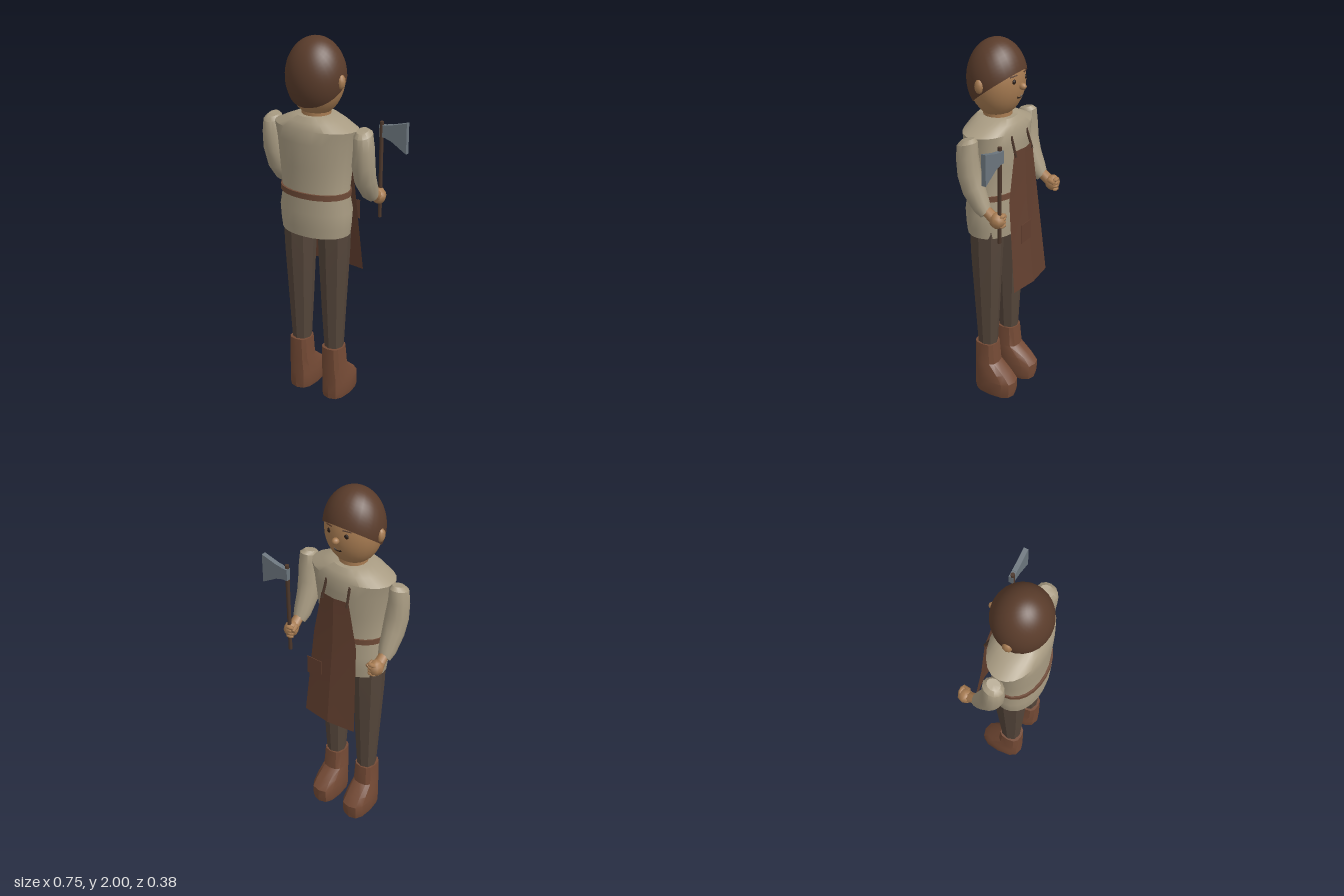
import * as THREE from 'three';
import { toCreasedNormals } from 'three/addons/utils/BufferGeometryUtils.js';

const COLORS = {
  skin: 0xa87c52, hair: 0x5a3c2b, shirt: 0xa89b82, trousers: 0x54453a, boot: 0x744a35,
  apron: 0x623f2f, belt: 0x6e4a37, wood: 0x4c372b, steel: 0x6b757d, dark: 0x2a1d16,
};
const mats = {};
for (const k in COLORS) mats[k] = new THREE.MeshStandardMaterial({ color: COLORS[k], side: THREE.DoubleSide });

function add(parent, name, geo, mat, pos = [0, 0, 0], scale = [1, 1, 1]) {
  const m = new THREE.Mesh(geo, mats[mat]);
  m.name = name;
  m.position.set(...pos);
  m.scale.set(...scale);
  parent.add(m);
  return m;
}

// Closed skin through rings listed bottom to top: [x, y, z, rx, rz, tilt about x]
function loft(rings, n, { power = 1, crease = 0.7, turn = 0 } = {}) {
  const pos = [], idx = [];
  const bend = (v) => Math.sign(v) * Math.abs(v) ** power;
  for (const [x, y, z, rx, rz, t = 0] of rings) {
    for (let j = 0; j < n; j++) {
      const a = ((j + turn) / n) * Math.PI * 2;
      const s = rz * bend(Math.sin(a));
      pos.push(x + rx * bend(Math.cos(a)), y + s * Math.sin(t), z + s * Math.cos(t));
    }
  }
  const last = rings.length - 1, base = rings.length * n;
  for (const r of [rings[0], rings[last]]) pos.push(r[0], r[1], r[2]);
  for (let j = 0; j < n; j++) {
    const k = (j + 1) % n;
    for (let i = 0; i < last; i++) {
      const a = i * n + j, b = i * n + k;
      idx.push(a, a + n, b, b, a + n, b + n);
    }
    idx.push(base, j, k, base + 1, last * n + k, last * n + j);
  }
  const g = new THREE.BufferGeometry();
  g.setAttribute('position', new THREE.Float32BufferAttribute(pos, 3));
  g.setIndex(idx);
  return toCreasedNormals(g, crease);
}

function rod(from, to, r0, r1, sides = 8) {
  const a = new THREE.Vector3(...from), b = new THREE.Vector3(...to);
  const d = b.clone().sub(a);
  const g = new THREE.CylinderGeometry(r1, r0, d.length(), sides);
  g.applyQuaternion(new THREE.Quaternion().setFromUnitVectors(new THREE.Vector3(0, 1, 0), d.normalize()));
  return g.translate(...a.add(b).multiplyScalar(0.5).toArray());
}

const ball = (w = 12, h = 8) => new THREE.SphereGeometry(1, w, h);

function makeHead() {
  const head = new THREE.Group();
  head.name = 'head';
  add(head, 'face', ball(24, 18), 'skin', [0, 1.795, 0.038], [0.149, 0.196, 0.142]);
  // Hair is a cap cut by a plane sloping down to the nape
  const cap = new THREE.SphereGeometry(1, 28, 16, 0, Math.PI * 2, 0, 1.81).rotateX(0.53);
  add(head, 'hair', cap, 'hair', [0, 1.8, 0.04], [0.157, 0.2, 0.151]);
  add(head, 'nose', ball(), 'skin', [0, 1.777, -0.11], [0.018, 0.018, 0.021]);
  const smile = new THREE.TorusGeometry(0.03, 0.004, 5, 10, 1.6).rotateZ(Math.PI + 0.77);
  add(head, 'mouth', smile, 'dark', [0, 1.745, -0.092]);
  for (const s of [1, -1]) {
    add(head, 'ear', ball(8, 6), 'skin', [s * 0.152, 1.79, 0.045], [0.02, 0.037, 0.026]);
    add(head, 'eye', ball(8, 6), 'dark', [s * 0.05, 1.81, -0.091], [0.013, 0.013, 0.009]);
    add(head, 'eyebrow', rod([s * 0.03, 1.839, -0.094], [s * 0.072, 1.836, -0.083], 0.005, 0.004, 5), 'hair');
  }
  return head;
}

function makeArm() {
  const arm = new THREE.Group();
  arm.name = 'arm';
  add(arm, 'sleeve', loft([
    [0.27, 1.185, -0.072, 0.034, 0.034, -0.84],
    [0.27, 1.22, -0.045, 0.046, 0.05, -0.8],
    [0.27, 1.30, 0.002, 0.056, 0.062, -0.55],
    [0.273, 1.38, 0.025, 0.06, 0.061, -0.3],
    [0.278, 1.47, 0.032, 0.053, 0.059, -0.25],
    [0.275, 1.54, 0.034, 0.047, 0.056, -0.27],
    [0.27, 1.56, 0.034, 0.03, 0.036, -0.27],
  ], 12), 'shirt');
  add(arm, 'wrist', rod([0.27, 1.21, -0.06], [0.27, 1.165, -0.125], 0.027, 0.03), 'skin');
  add(arm, 'fist', ball(8, 6), 'skin', [0.27, 1.163, -0.137], [0.04, 0.043, 0.042]);
  add(arm, 'thumb', rod([0.245, 1.185, -0.13], [0.236, 1.175, -0.168], 0.014, 0.011, 6), 'skin');
  for (let i = 0; i < 4; i++) {
    add(arm, 'finger', ball(6, 5), 'skin', [0.26, 1.19 - i * 0.018, -0.163], [0.026, 0.011, 0.014]);
  }
  return arm;
}

function makeLeg() {
  const leg = new THREE.Group();
  leg.name = 'leg';
  add(leg, 'trouserLeg', loft([
    [0.105, 0.29, 0.03, 0.05, 0.053],
    [0.105, 0.55, 0.032, 0.064, 0.068],
    [0.107, 0.85, 0.033, 0.079, 0.085],
    [0.107, 1.02, 0.033, 0.085, 0.09],
  ], 8, { crease: 0.6, power: 0.9 }), 'trousers');
  add(leg, 'boot', loft([
    [0.107, 0, -0.023, 0.066, 0.115],
    [0.107, 0.03, -0.024, 0.074, 0.12],
    [0.107, 0.09, -0.025, 0.074, 0.121],
    [0.107, 0.135, -0.006, 0.07, 0.102],
    [0.106, 0.19, 0.028, 0.063, 0.068],
    [0.105, 0.31, 0.034, 0.058, 0.063],
  ], 12, { power: 0.75, crease: 0.55 }), 'boot');
  return leg;
}

function makeApron() {
  const apron = new THREE.Group();
  apron.name = 'apron';
  // Sheet folded along its middle: [y, half width, middle z, edge z]
  const rows = [[0.7, 0.16, -0.19, -0.17], [1.2, 0.133, -0.14, -0.12], [1.46, 0.083, -0.13, -0.118]];
  const sheet = new THREE.PlaneGeometry(1, 1, 2, 2);
  const p = sheet.attributes.position;
  for (let i = 0; i < p.count; i++) {
    const [y, w, zm, ze] = rows[2 - Math.floor(i / 3)];
    const side = 1 - (i % 3);
    p.setXYZ(i, side * w, y, side ? ze : zm);
  }
  sheet.computeVertexNormals();
  add(apron, 'apronSheet', toCreasedNormals(sheet, 0.1), 'apron');
  add(apron, 'pocket', new THREE.BoxGeometry(0.09, 0.105, 0.003), 'apron', [0.079, 1.035, -0.19]);
  for (const s of [1, -1]) {
    add(apron, 'strap', rod([s * 0.076, 1.43, -0.123], [s * 0.07, 1.535, -0.09], 0.008, 0.008, 4), 'wood');
  }
  return apron;
}

function makeAxe() {
  const axe = new THREE.Group();
  axe.name = 'axe';
  add(axe, 'axeHandle', rod([0.27, 1.04, -0.15], [0.27, 1.56, -0.153], 0.01, 0.011), 'wood');
  const blade = new THREE.Shape([[-0.014, 1.475], [0.02, 1.465], [0.108, 1.412], [0.108, 1.575], [0.02, 1.55], [-0.014, 1.545]]
    .map(([x, y]) => new THREE.Vector2(x, y)));
  const g = new THREE.ExtrudeGeometry(blade, { depth: 0.025, bevelEnabled: false });
  add(axe, 'axeBlade', g, 'steel', [0.312, 0, -0.17]);
  axe.children[1].position.x = 0.31;
  add(axe, 'axeSocket', new THREE.BoxGeometry(0.05, 0.065, 0.025), 'steel', [0.284, 1.51, -0.1575]);
  return axe;
}

export function createModel() {
  const model = new THREE.Group();
  model.name = 'woodworker';
  const body = new THREE.Group();
  body.name = 'body';
  body.position.x = -0.045;
  model.add(body);

  body.add(makeHead());
  add(body, 'neck', rod([0, 1.56, 0.035], [0, 1.66, 0.037], 0.075, 0.075, 14), 'skin');
  add(body, 'shirt', loft([
    [0, 0.98, 0.04, 0.192, 0.13],
    [0, 1.03, 0.04, 0.199, 0.135],
    [0, 1.11, 0.04, 0.205, 0.138],
    [0, 1.2, 0.042, 0.188, 0.128],
    [0, 1.35, 0.04, 0.203, 0.135],
    [0, 1.48, 0.038, 0.218, 0.14],
    [0, 1.55, 0.037, 0.237, 0.137],
    [0, 1.585, 0.036, 0.165, 0.122],
    [0, 1.61, 0.036, 0.105, 0.1],
  ], 24, { power: 0.95 }), 'shirt');
  add(body, 'belt', loft([[0, 1.192, 0.043, 0.197, 0.139], [0, 1.222, 0.043, 0.197, 0.139]], 24, { power: 0.95 }), 'belt');

  // Mirrored limbs
  for (const s of [1, -1]) {
    for (const limb of [makeArm(), makeLeg()]) {
      limb.name = (s > 0 ? 'left' : 'right') + (limb.name === 'arm' ? 'Arm' : 'Leg');
      limb.scale.x = s;
      body.add(limb);
    }
  }
  body.add(makeApron(), makeAxe());
  return model;
}
